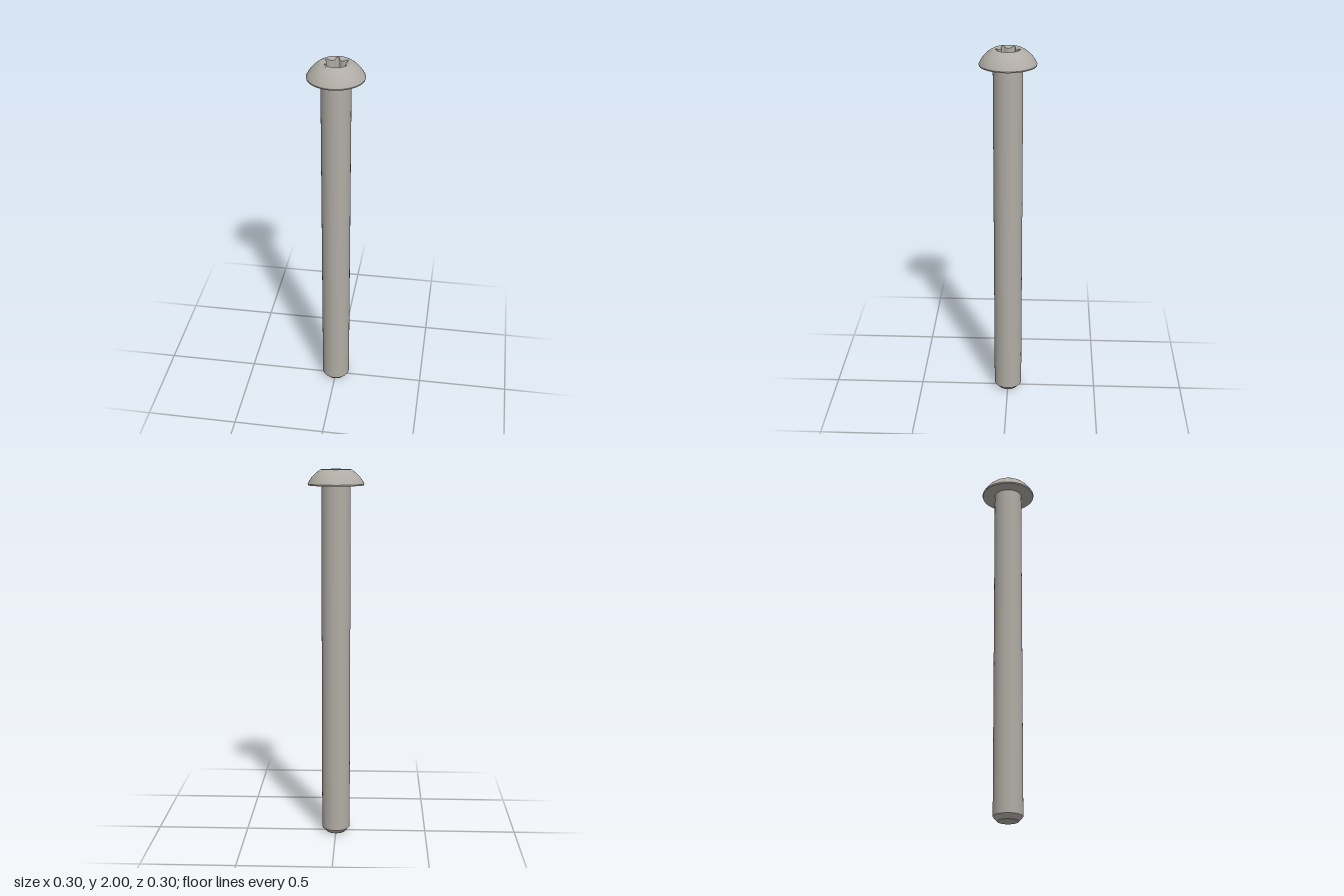
import * as THREE from 'three';

const SEGMENTS = 48, TAU = Math.PI * 2;

// Radius of the six-lobed socket: narrow rounded tips joined by wide concave arcs
function lobeRadius(theta) {
  const step = Math.PI / 3;
  const a = Math.abs(theta - Math.round(theta / step) * step);
  if (a < 0.169) return 0.053 * Math.cos(a) + Math.sqrt(0.01 ** 2 - (0.053 * Math.sin(a)) ** 2);
  const b = step / 2 - a;
  return 0.074 * Math.cos(b) - Math.sqrt(0.029 ** 2 - (0.074 * Math.sin(b)) ** 2);
}

// Closed strip between two rings; each ring gives [radius, height] for an angle
function ringStrip(ringA, ringB, n = 144) {
  const positions = [], index = [];
  for (let i = 0; i < n; i++) {
    const t = (i / n) * TAU;
    for (const ring of [ringA, ringB]) {
      const [r, y] = ring(t);
      positions.push(r * Math.sin(t), y, r * Math.cos(t));
    }
    const a = 2 * i, b = 2 * ((i + 1) % n);
    index.push(a, b, a + 1, b, b + 1, a + 1);
  }
  const g = new THREE.BufferGeometry();
  g.setAttribute('position', new THREE.Float32BufferAttribute(positions, 3));
  g.setIndex(index);
  g.computeVertexNormals();
  return g;
}

export function createModel() {
  const model = new THREE.Group();
  model.name = 'screw';
  const steel = new THREE.MeshStandardMaterial({ color: 0xb0aca5 });
  steel.name = 'steel';

  const add = (parent, name, geometry) => {
    const mesh = new THREE.Mesh(geometry, steel);
    mesh.name = name;
    parent.add(mesh);
  };
  const lathe = (...points) =>
    new THREE.LatheGeometry(points.map(([r, y]) => new THREE.Vector2(r, y)), SEGMENTS);

  // Shank with a chamfered end
  const shank = new THREE.Group();
  shank.name = 'shank';
  model.add(shank);
  add(shank, 'shankEnd', lathe([0, 0], [0.055, 0]));
  add(shank, 'shankChamfer', lathe([0.055, 0], [0.077, 0.025]));
  add(shank, 'shankBody', lathe([0.077, 0.025], [0.077, 1.92]));

  // Button head: flat underside, thin rim, spherical dome, flat top
  const head = new THREE.Group();
  head.name = 'head';
  model.add(head);
  add(head, 'headUnderside', lathe([0.077, 1.918], [0.146, 1.918]));
  add(head, 'headRim', lathe([0.146, 1.918], [0.148, 1.925]));
  const centreY = 1.857, domeR = Math.hypot(0.148, 1.925 - centreY);
  const start = Math.asin((1.925 - centreY) / domeR), end = Math.acos(0.078 / domeR);
  const dome = [];
  for (let i = 0; i <= 12; i++) {
    const a = start + ((end - start) * i) / 12;
    dome.push([domeR * Math.cos(a), centreY + domeR * Math.sin(a)]);
  }
  add(head, 'headDome', lathe(...dome));
  add(head, 'headTop', lathe([0.078, 2], [0.063, 2]));

  // Six-lobed socket: countersink, straight walls, conical floor
  const socket = new THREE.Group();
  socket.name = 'socket';
  model.add(socket);
  const floorY = 1.93;
  const mouth = () => [0.063, 2];
  const lip = (t) => [lobeRadius(t), 2 - (0.063 - lobeRadius(t)) * 0.5];
  const foot = (t) => [lobeRadius(t), floorY];
  add(socket, 'socketCountersink', ringStrip(mouth, lip));
  add(socket, 'socketWall', ringStrip(lip, foot));
  add(socket, 'socketFloor', ringStrip(foot, () => [0.0005, floorY - 0.02]));

  return model;
}
